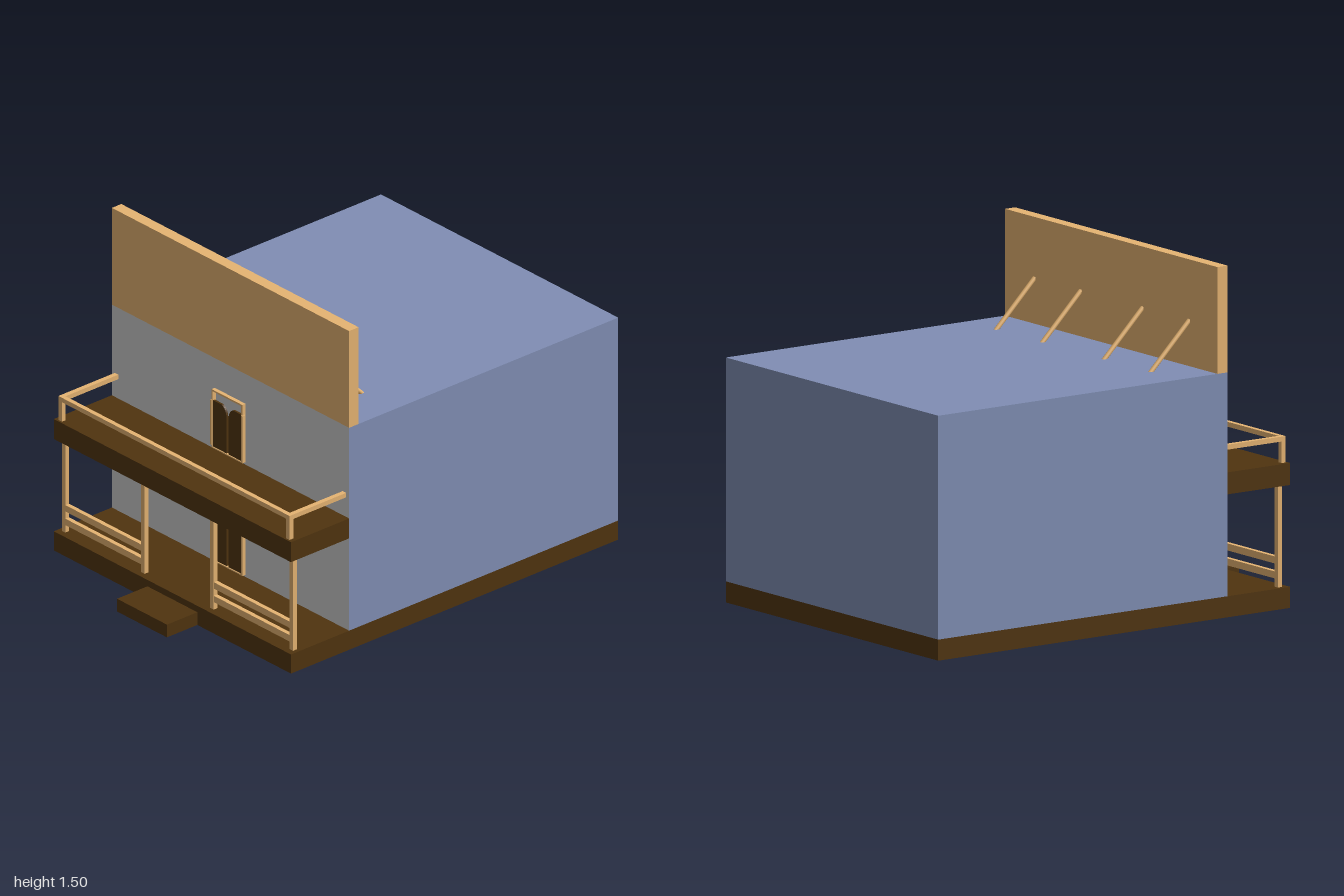
import * as THREE from 'three';

const mat = (color) => new THREE.MeshStandardMaterial({ color });
const grey = mat(0xcccccc), tan = mat(0xe6b472), brown = mat(0x50340f), blue = mat(0x808eb4);

// Box given by its min and max on each axis
function box(parent, name, [x0, x1], [y0, y1], [z0, z1], material) {
  const mesh = new THREE.Mesh(new THREE.BoxGeometry(x1 - x0, y1 - y0, z1 - z0), material);
  mesh.position.set((x0 + x1) / 2, (y0 + y1) / 2, (z0 + z1) / 2);
  mesh.name = name;
  parent.add(mesh);
  return mesh;
}

// Round bar between two points
function bar(parent, name, a, b, radius, material) {
  const dir = b.clone().sub(a);
  const mesh = new THREE.Mesh(new THREE.CylinderGeometry(radius, radius, dir.length(), 12), material);
  mesh.position.copy(a).add(b).multiplyScalar(0.5);
  mesh.quaternion.setFromUnitVectors(new THREE.Vector3(0, 1, 0), dir.normalize());
  mesh.name = name;
  parent.add(mesh);
}

// Open frame with a pair of swing doors, origin at the bottom centre
function doorway(name) {
  const group = new THREE.Group();
  group.name = name;
  for (const s of [-1, 1]) {
    const side = (a, b) => (s < 0 ? [-b, -a] : [a, b]);
    box(group, 'doorJamb', side(0.09, 0.097), [0, 0.275], [0, 0.018], tan);
    box(group, 'doorHinge', side(0.093, 0.101), [0.015, 0.225], [0.004, 0.022], tan);

    // leaf with a rounded inner top corner
    const leaf = new THREE.Shape();
    leaf.moveTo(s * 0.092, 0.006);
    leaf.lineTo(s * 0.006, 0.006);
    leaf.lineTo(s * 0.006, 0.175);
    leaf.bezierCurveTo(s * 0.008, 0.2, s * 0.018, 0.218, s * 0.036, 0.224);
    leaf.lineTo(s * 0.092, 0.224);
    leaf.closePath();
    const mesh = new THREE.Mesh(
      new THREE.ExtrudeGeometry(leaf, { depth: 0.01, bevelEnabled: false, curveSegments: 8 }), brown);
    mesh.position.z = 0.005;
    mesh.name = 'swingDoor';
    group.add(mesh);
  }
  box(group, 'doorLintel', [-0.09, 0.09], [0.267, 0.275], [0, 0.018], tan);
  box(group, 'doorSill', [-0.09, 0.09], [0, 0.005], [0, 0.018], tan);
  return group;
}

export function createModel() {
  const model = new THREE.Group();
  model.name = 'saloon';
  const W = 0.747, wallZ = 0.505, porchZ = 0.83;

  // Foundation and front step
  box(model, 'foundation', [-W, W], [0, 0.09], [-1, porchZ], brown);
  box(model, 'frontStep', [-0.157, 0.157], [0, 0.06], [porchZ, 1], brown);

  // Main block with a grey front wall
  box(model, 'building', [-W, W], [0.09, 1.046], [-1, wallZ],
    [blue, blue, blue, blue, grey, blue]);

  // False front and its slanted braces
  box(model, 'falseFront', [-W, W], [1.046, 1.502], [0.452, wallZ], tan);
  for (const x of [-0.545, -0.218, 0.217, 0.542]) {
    bar(model, 'roofBrace', new THREE.Vector3(x, 1.242, 0.455), new THREE.Vector3(x, 1.04, 0.25), 0.01, tan);
  }

  // Balcony deck and its railing
  box(model, 'balconyDeck', [-W, W], [0.525, 0.619], [wallZ, porchZ], brown);
  box(model, 'balconyFrontRail', [-0.728, 0.728], [0.711, 0.732], [0.8, 0.821], tan);
  for (const s of [-1, 1]) {
    const cx = s * 0.717;
    const xs = [cx - 0.011, cx + 0.011];
    box(model, 'balconyPost', xs, [0.619, 0.711], [0.8, 0.821], tan);
    box(model, 'balconySideRail', xs, [0.711, 0.732], [wallZ, 0.8], tan);
  }

  // Porch posts and paired rails on each side of the entrance
  for (const s of [-1, 1]) {
    for (const px of [0.217, 0.717]) {
      box(model, 'porchPost', [s * px - 0.011, s * px + 0.011], [0.09, 0.525], [0.78, 0.802], tan);
    }
    for (const y of [0.125, 0.189]) {
      box(model, 'porchRail', [s * 0.467 - 0.239, s * 0.467 + 0.239], [y, y + 0.03], [0.781, 0.801], tan);
    }
  }

  // Doors on both floors
  for (const [name, y] of [['lowerDoorway', 0.1], ['upperDoorway', 0.631]]) {
    const door = doorway(name);
    door.position.set(-0.002, y, wallZ);
    model.add(door);
  }
  return model;
}
